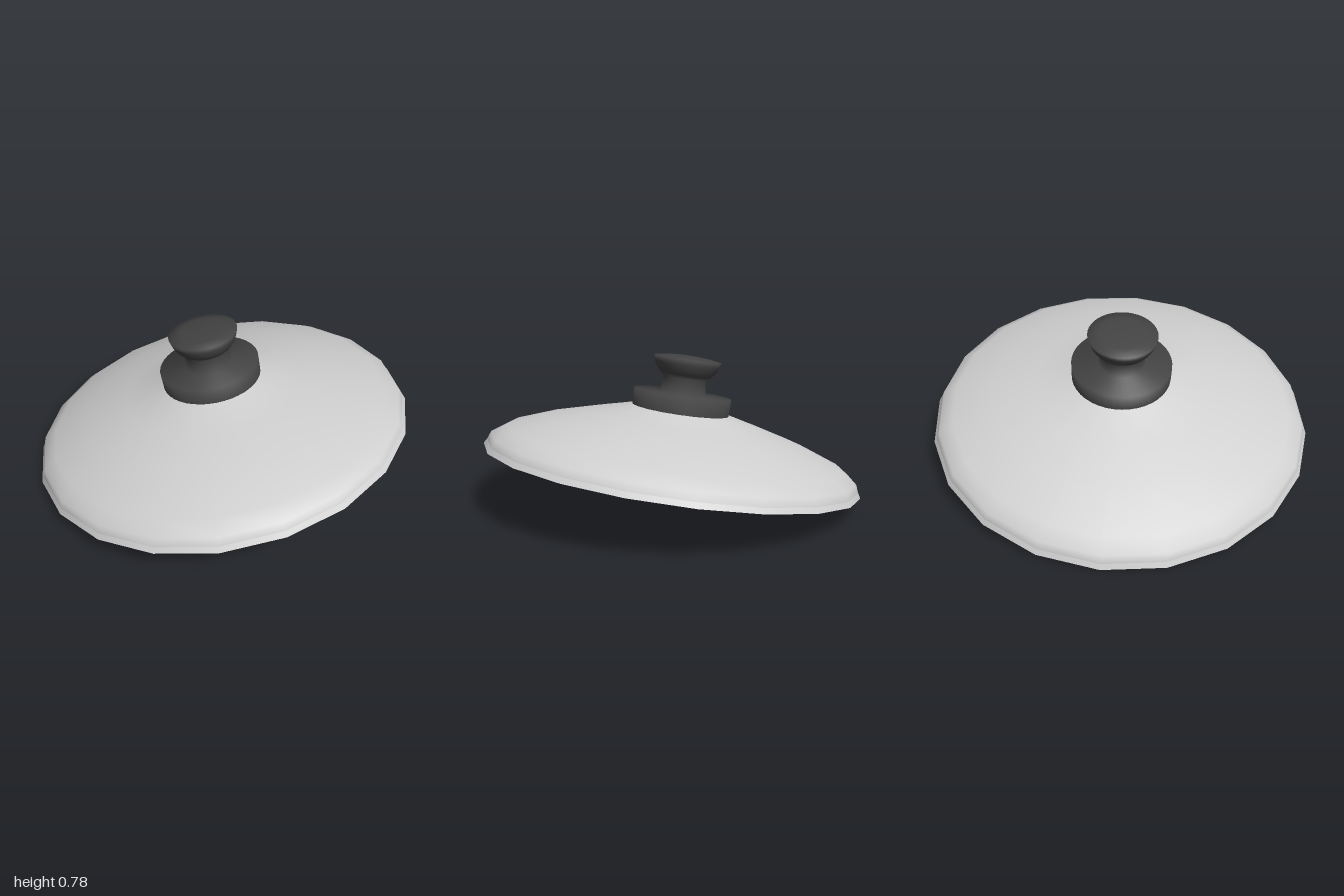
import * as THREE from 'three';

const glass = new THREE.MeshStandardMaterial({ color: 0xcfd0cf });
glass.name = 'pale grey lid';
const plastic = new THREE.MeshStandardMaterial({ color: 0x434343 });
plastic.name = 'dark grey knob';

// Turned part: a profile of [radius, height] faces outward when it runs upward
function turned(name, profile, material, sides, start = 0) {
  const points = profile.map(([r, y]) => new THREE.Vector2(r, y));
  const mesh = new THREE.Mesh(new THREE.LatheGeometry(points, sides, start), material);
  mesh.name = name;
  return mesh;
}

export function createModel() {
  const model = new THREE.Group();
  model.name = 'potLid';

  // Everything sits on one tilted axis
  const lid = new THREE.Group();
  lid.name = 'tiltedLid';
  lid.position.set(-0.003, 0.18, 0);
  lid.rotation.z = 0.1815;
  model.add(lid);

  // Twenty-sided lid: rim strip, dome and inner shell; tiny hidden lips round off both edges
  const start = THREE.MathUtils.degToRad(3);
  lid.add(turned('rimStrip', [[1, 0], [0.985, 0.026]], glass, 20, start));
  lid.add(turned('dome', [
    [0.98, 0.031], [0.985, 0.026], [0.969, 0.066], [0.895, 0.116],
    [0.68, 0.196], [0.47, 0.253], [0.25, 0.309], [0.235, 0.335], [0, 0.342],
  ], glass, 20, start));
  lid.add(turned('innerShell', [
    [0, 0.299], [0.12, 0.298], [0.25, 0.288], [0.47, 0.238], [0.68, 0.182],
    [0.89, 0.1], [0.963, 0.05], [1, 0], [0.998, 0.003],
  ], glass, 20, start));

  // Knob: round base, neck, bowl-shaped grip and slightly domed cap, smoothly shaded
  const knob = turned('knob', [
    [0.258, 0.303], [0.26, 0.393], [0.12, 0.396], [0.114, 0.476], [0.138, 0.495],
    [0.16, 0.522], [0.171, 0.55], [0.179, 0.578], [0.12, 0.588], [0.06, 0.593], [0, 0.595],
  ], plastic, 40);
  knob.position.set(0.004, 0, -0.006);
  lid.add(knob);

  return model;
}
